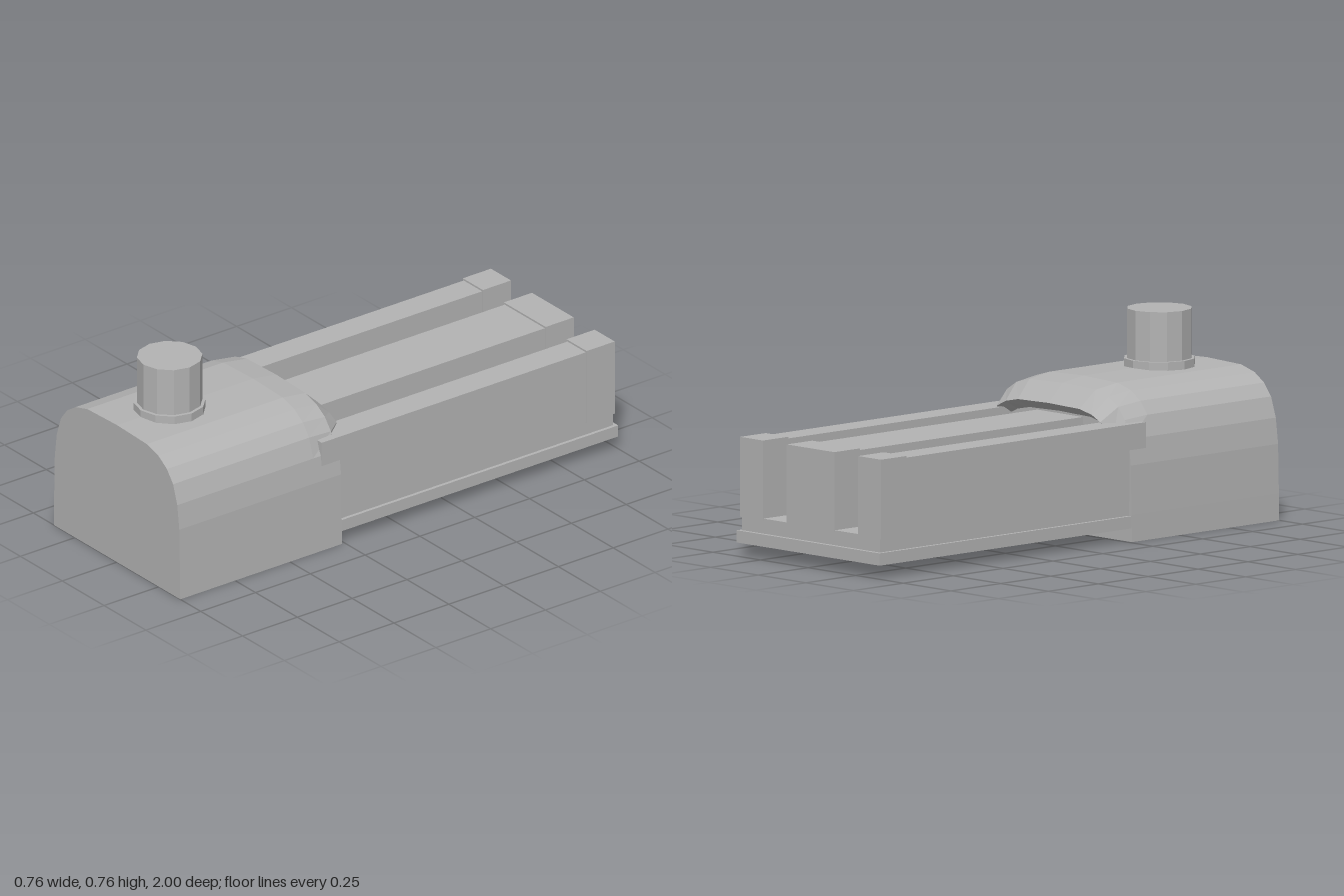
import * as THREE from 'three';

const grey = new THREE.MeshStandardMaterial({ color: 0xb3b3b3, flatShading: true });
grey.name = 'plain grey';

function addMesh(parent, name, geometry) {
  const mesh = new THREE.Mesh(geometry, grey);
  mesh.name = name;
  parent.add(mesh);
  return mesh;
}

// Box given by its lower and upper limits on each axis
function addBox(parent, name, [x0, x1], [y0, y1], [z0, z1]) {
  const box = addMesh(parent, name, new THREE.BoxGeometry(x1 - x0, y1 - y0, z1 - z0));
  box.position.set((x0 + x1) / 2, (y0 + y1) / 2, (z0 + z1) / 2);
}

// Skin closed rings running from front to back, with a fan over each end
function loft(rings, frontCentre, backCentre) {
  const positions = [];
  const tri = (...corners) => corners.forEach((p) => positions.push(...p));
  const n = rings[0].length;
  const last = rings.length - 1;
  for (let i = 0; i < n; i++) {
    const j = (i + 1) % n;
    tri(frontCentre, rings[0][i], rings[0][j]);
    for (let k = 0; k < last; k++) {
      tri(rings[k][i], rings[k + 1][i], rings[k + 1][j]);
      tri(rings[k][i], rings[k + 1][j], rings[k][j]);
    }
    tri(backCentre, rings[last][j], rings[last][i]);
  }
  const geometry = new THREE.BufferGeometry();
  geometry.setAttribute('position', new THREE.Float32BufferAttribute(positions, 3));
  geometry.computeVertexNormals();
  return geometry;
}

// Arched housing with a sloping hood lip at the back
function housingGeometry() {
  const half = [
    [0.378, 0], [0.376, 0.1], [0.372, 0.28], [0.36, 0.375], [0.335, 0.45],
    [0.298, 0.497], [0.248, 0.53], [0.178, 0.55], [0, 0.556],
  ];
  const profile = [...half, ...half.slice(0, -1).reverse().map(([x, y]) => [-x, y])];
  const wall = 0.262;
  const shoulder = 0.4;
  // Shrink only the upper arch, leaving the side walls straight
  const ring = (z, sx, sy, drop = 0) => profile.map(([x, y]) => (
    y > shoulder ? [x * sx, 0.3 + (y - 0.3) * sy - drop, z] : [x, y, Math.max(z, wall)]
  ));
  const lip = ring(0.205, 0.91, 0.68).map(([x, y, z]) => (
    z < wall && Math.abs(x) > 0.29 ? [x, y, 0.245] : [x, y, z]
  ));
  const rings = [
    ring(1, 1, 1), ring(0.38, 1, 1), ring(0.275, 0.98, 0.94), lip, ring(wall, 0.9, 0.66, 0.03),
  ];
  return loft(rings, [0, 0.2, 1], [0, 0.2, wall]);
}

export function createModel() {
  const model = new THREE.Group();
  model.name = 'model';

  addMesh(model, 'housing', housingGeometry());

  // Short stack with a collar on the housing roof
  const stack = new THREE.Group();
  stack.name = 'stack';
  stack.position.z = 0.76;
  model.add(stack);
  addMesh(stack, 'collar', new THREE.CylinderGeometry(0.132, 0.132, 0.043, 12)).position.y = 0.5615;
  addMesh(stack, 'stackPipe', new THREE.CylinderGeometry(0.12, 0.12, 0.21, 12)).position.y = 0.66;

  // Bed made of two stacked plates
  addBox(model, 'basePlate', [-0.375, 0.375], [0.05, 0.095], [-1, 0.3]);
  addBox(model, 'upperPlate', [-0.362, 0.362], [0.095, 0.15], [-0.985, 0.3]);

  // Three long rails, each with a slightly larger end block
  const rails = [
    ['right', -0.37, -0.25, 0.345],
    ['centre', -0.125, 0.125, 0.3],
    ['left', 0.25, 0.37, 0.345],
  ];
  for (const [side, x0, x1, front] of rails) {
    addBox(model, side + 'Rail', [x0 + 0.005, x1 - 0.005], [0.148, 0.43], [-0.87, front]);
    addBox(model, side + 'EndBlock', [x0, x1], [0.144, 0.437], [-0.988, -0.86]);
  }
  return model;
}
